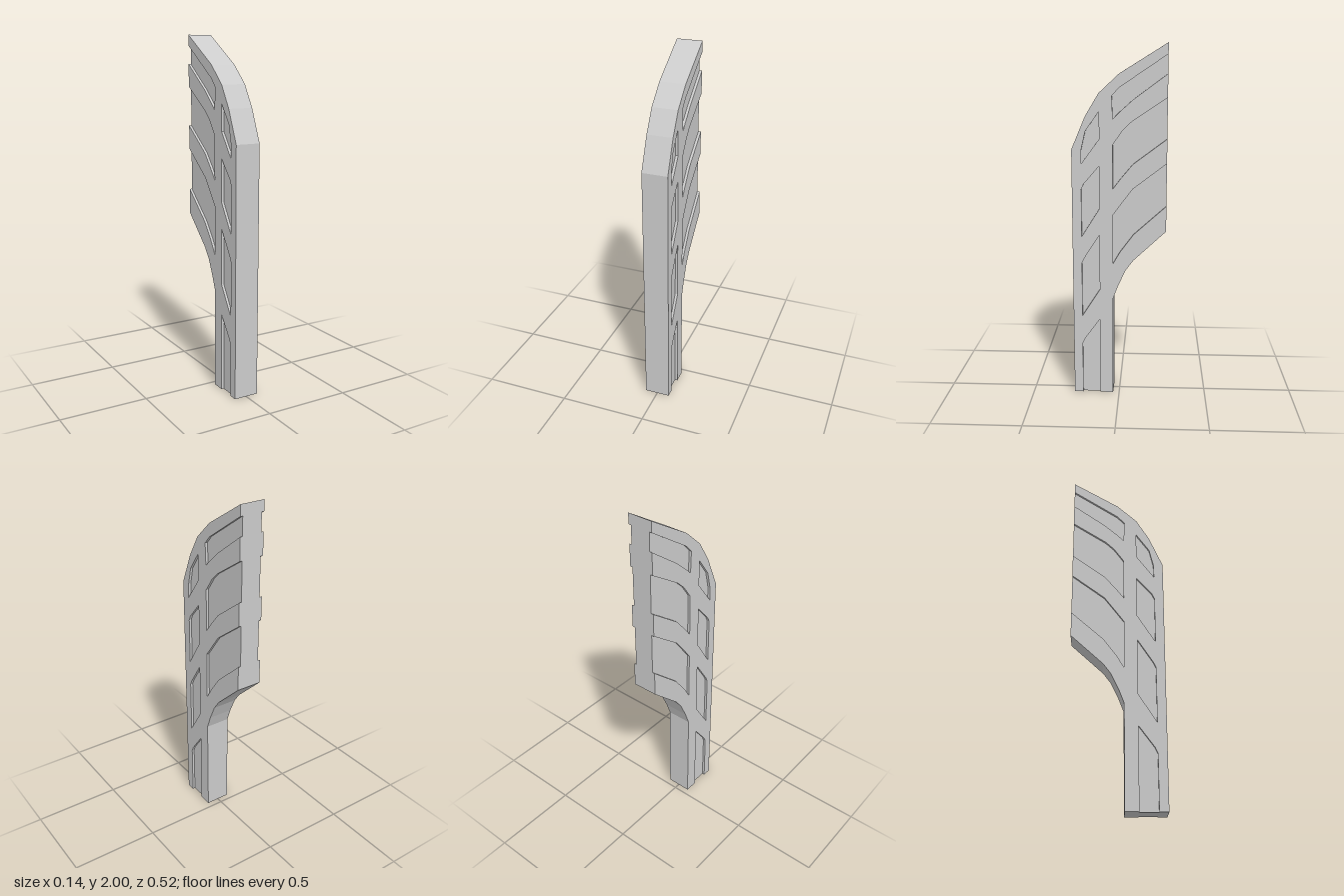
import * as THREE from 'three';

const HALF = 0.0725;   // half thickness of the whole slab
const DEPTH = 0.0145;  // depth of the recesses on each side

// All profiles are [z, y] pairs in the side plane.
const frontAndTop = [[0.26, 0], [0.262, 1.43], [0.185, 1.612], [0.111, 1.735], [0, 1.838], [-0.262, 2]];
const underside = [[-0.262, 0.975], [-0.08, 0.805], [-0.037, 0.747], [0.005, 0.657], [0.035, 0.577], [0.035, 0]];

// Recesses open to the rear edge, from the top down
const rearNotches = [
  [[-0.262, 1.94], [0, 1.764], [0.04, 1.72], [0.035, 1.597], [-0.005, 1.637], [-0.075, 1.7], [-0.262, 1.838]],
  [[-0.262, 1.712], [-0.07, 1.584], [-0.02, 1.536], [0.035, 1.457], [0.035, 1.213], [-0.005, 1.266], [-0.075, 1.35], [-0.262, 1.49]],
  [[-0.262, 1.356], [-0.075, 1.213], [-0.02, 1.14], [0.035, 1.065], [0.035, 0.784], [-0.005, 0.853], [-0.08, 0.954], [-0.262, 1.118]],
];

// Recess open to the foot
const footNotch = [[0.11, 0], [0.11, 0.452], [0.196, 0.334], [0.21, 0.302], [0.21, 0]];

// Closed recesses along the front edge
const windows = [
  [[0.11, 1.637], [0.185, 1.53], [0.208, 1.43], [0.21, 1.35], [0.11, 1.487]],
  [[0.11, 1.34], [0.196, 1.24], [0.21, 1.21], [0.21, 0.94], [0.11, 1.1]],
  [[0.11, 0.95], [0.196, 0.816], [0.21, 0.785], [0.21, 0.472], [0.11, 0.63]],
];

const toPoints = (pairs) => pairs.map(([z, y]) => new THREE.Vector2(-z, y));

// Extrudes a side profile across the thickness, from x0 to x1
function slab(name, profile, holes, x0, x1, material) {
  const shape = new THREE.Shape(toPoints(profile));
  shape.holes = holes.map((h) => new THREE.Path(toPoints(h)));
  const geometry = new THREE.ExtrudeGeometry(shape, { depth: x1 - x0, bevelEnabled: false });
  geometry.rotateY(Math.PI / 2).translate(x0, 0, 0);
  const mesh = new THREE.Mesh(geometry, material);
  mesh.name = name;
  return mesh;
}

export function createModel() {
  const group = new THREE.Group();
  group.name = 'recessedBlade';
  const material = new THREE.MeshStandardMaterial({ color: 0xcccccc, flatShading: true });
  const inner = HALF - DEPTH;

  // Solid core forms the floor of the recesses
  group.add(slab('core', [...frontAndTop, ...underside], [], -inner, inner, material));

  // Raised frame on each side, cut by the notches and windows
  const frame = [...frontAndTop, ...rearNotches.flat(), ...underside, ...footNotch];
  group.add(slab('leftFrame', frame, windows, inner, HALF, material));
  group.add(slab('rightFrame', frame, windows, -HALF, -inner, material));
  return group;
}
